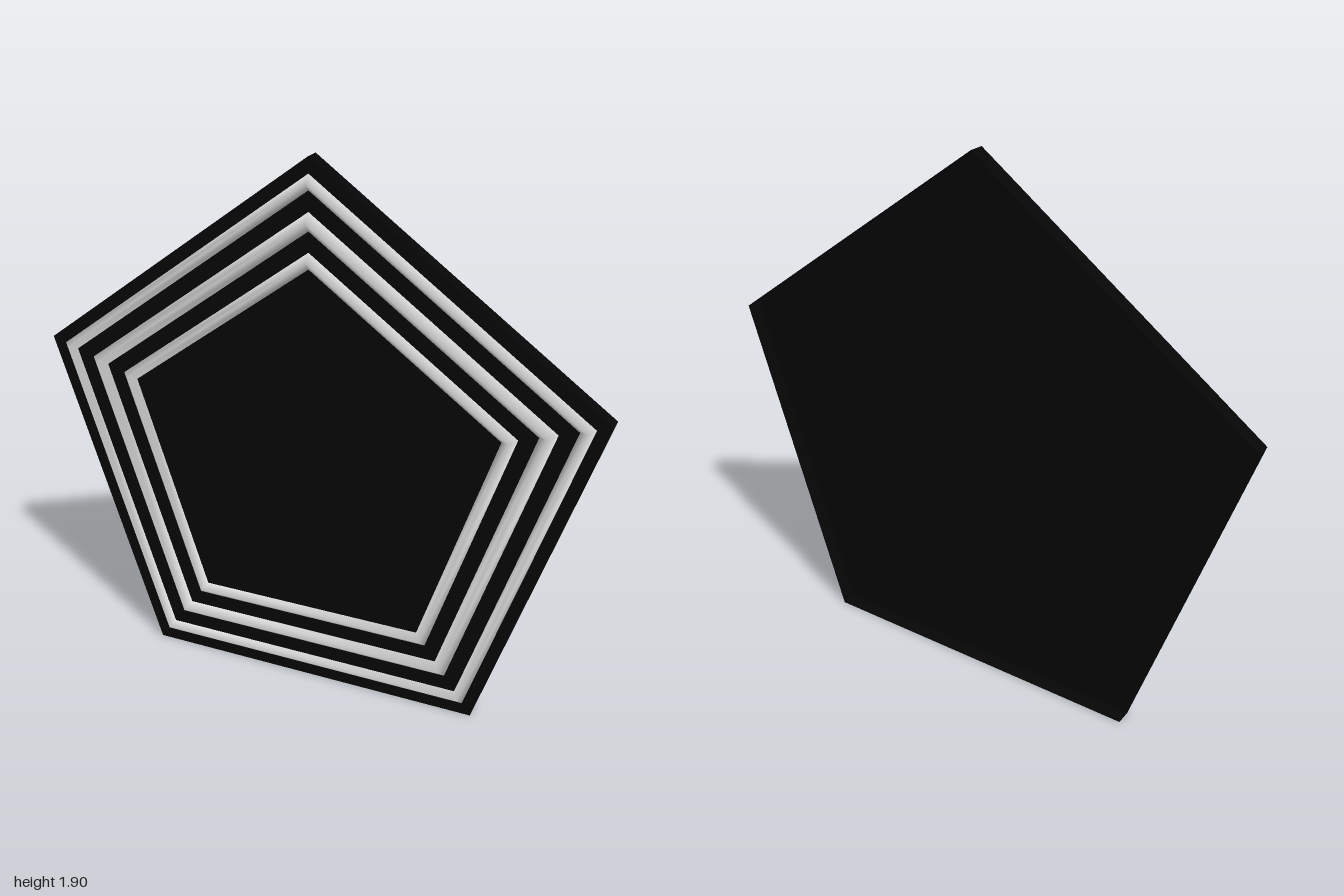
import * as THREE from 'three';

const SIDES = 5;
const RADIUS = 1.0515;    // corner radius of the plate
const CENTER_Y = 0.851;   // height of the pentagon's middle
const BACK = -0.0425, FACE = 0.0135;

// Five-sided ridge, swept from its outer edge over the crest to its inner edge
function ridgeGeometry(outer, inner, height) {
  const profile = [
    new THREE.Vector2(outer, FACE),
    new THREE.Vector2((outer + inner) / 2, FACE + height),
    new THREE.Vector2(inner, FACE),
  ];
  return new THREE.LatheGeometry(profile, SIDES, Math.PI).rotateX(Math.PI / 2);
}

export function createModel() {
  const model = new THREE.Group();
  model.name = 'pentagonPlaque';

  const black = new THREE.MeshStandardMaterial({
    color: 0x060606, flatShading: true, side: THREE.DoubleSide,
  });
  black.name = 'black';
  const silver = new THREE.MeshStandardMaterial({ color: 0xe0e0e0 });
  silver.name = 'silver';

  function add(name, geometry, material) {
    const mesh = new THREE.Mesh(geometry, material);
    mesh.name = name;
    mesh.position.y = CENTER_Y;
    model.add(mesh);
  }

  // Front face of the plate
  const face = new THREE.CircleGeometry(RADIUS, SIDES, Math.PI / 2);
  face.translate(0, 0, FACE);
  add('face', face, black);

  // Rim around the face, open at the back
  const rim = new THREE.CylinderGeometry(
    RADIUS, RADIUS, FACE - BACK, SIDES, 1, true, Math.PI
  );
  rim.rotateX(Math.PI / 2).translate(0, 0, (FACE + BACK) / 2);
  add('rim', rim, black);

  // Raised rings: outer and inner corner radius, height above the face
  const rings = [
    ['outerRing', 0.998, 0.946, 0.025],
    ['middleRing', 0.879, 0.817, 0.029],
    ['innerRing', 0.749, 0.694, 0.025],
  ];
  for (const [name, outer, inner, height] of rings) {
    add(name, ridgeGeometry(outer, inner, height), silver);
  }
  return model;
}
